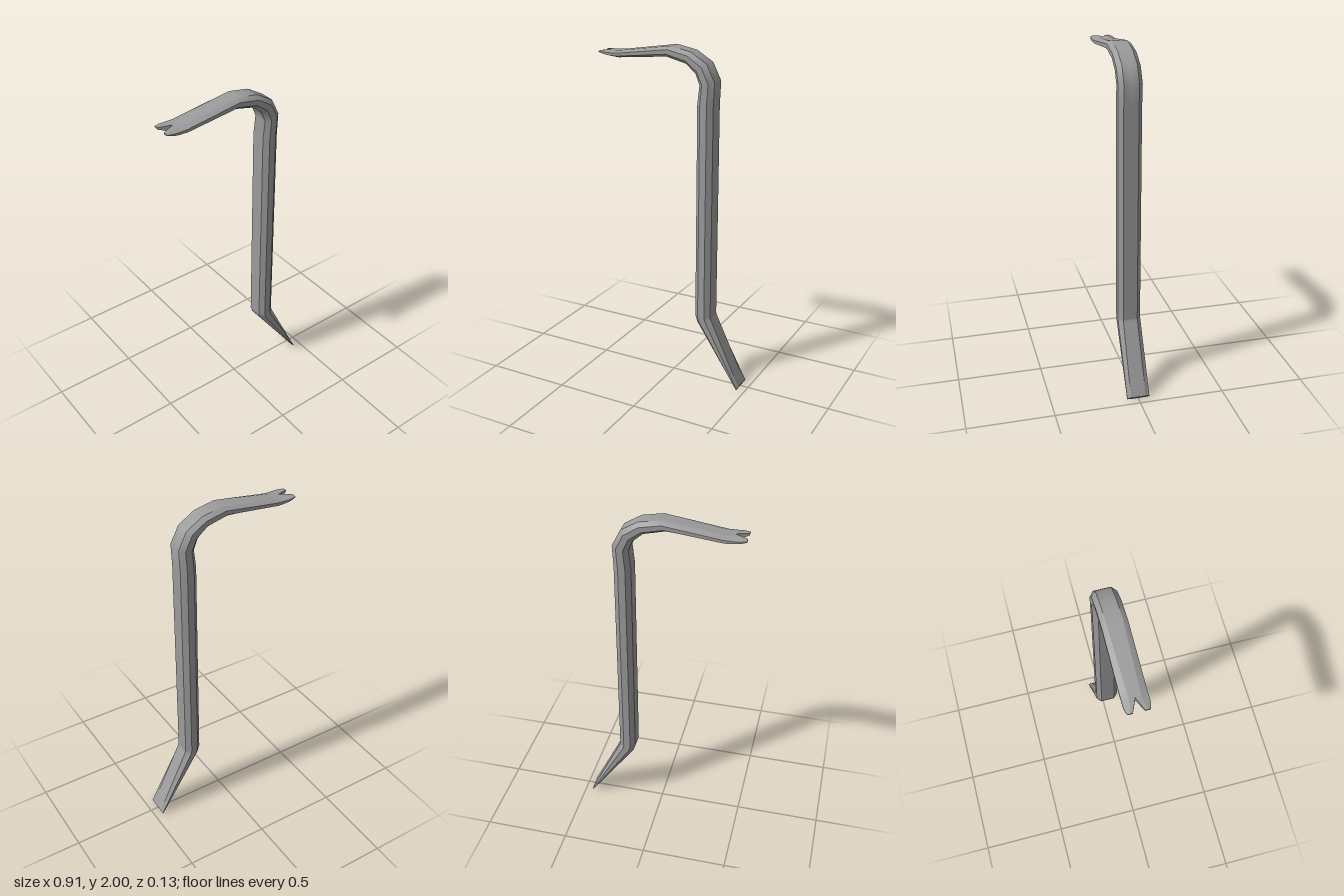
import * as THREE from 'three';
import { mergeGeometries } from 'three/addons/utils/BufferGeometryUtils.js';

// Stations from chisel tip to claw tips:
// outer x, y, inner x, y, half width, half width of the flat, half gap of the notch
const STATIONS = [
  [0.455, 0.012, 0.45, 0, 0.067, 0.045, 0],
  [0.267, 0.41, 0.177, 0.385, 0.067, 0.042, 0],
  [0.262, 0.425, 0.165, 0.425, 0.067, 0.042, 0],
  [0.262, 1.69, 0.165, 1.69, 0.067, 0.042, 0],
  [0.268, 1.82, 0.177, 1.80, 0.067, 0.042, 0],
  [0.219, 1.917, 0.153, 1.86, 0.067, 0.042, 0],
  [0.122, 1.976, 0.095, 1.91, 0.067, 0.042, 0],
  [0, 2, -0.026, 1.94, 0.067, 0.042, 0],
  [-0.335, 1.951, -0.34, 1.911, 0.067, 0.032, 0],
  [-0.385, 1.949, -0.385, 1.915, 0.067, 0.03, 0],
  [-0.42, 1.948, -0.42, 1.922, 0.067, 0.037, 0.015],
  [-0.455, 1.944, -0.455, 1.934, 0.058, 0.045, 0.03],
];
const NOTCH_START = 9;

// Half of a chamfered section, on the side given by the sign s
function halfRing([ox, oy, ix, iy, w, flat, gap], s) {
  const at = (t, z) => [ox + (ix - ox) * t, oy + (iy - oy) * t, s * z];
  return [at(0, gap), at(0, flat), at(0.3, w), at(0.72, w), at(1, flat), at(1, gap)];
}

// Smooth strip through rows of two points; s = -1 turns the faces for the mirrored half
function strip(rows, s) {
  const index = [];
  for (let k = 0; k < rows.length - 1; k++) {
    const a = 2 * k, b = a + 1, c = a + 2, d = a + 3;
    index.push(...(s > 0 ? [a, c, d, a, d, b] : [a, d, c, a, b, d]));
  }
  const geometry = new THREE.BufferGeometry();
  geometry.setAttribute('position', new THREE.Float32BufferAttribute(rows.flat(2), 3));
  geometry.setIndex(index);
  geometry.computeVertexNormals();
  return geometry;
}

// Each face of the bar is its own strip: smooth along the bends, sharp at the chamfers
function barGeometry() {
  const parts = [];
  for (const s of [1, -1]) {
    const rings = STATIONS.map((station) => halfRing(station, s));
    for (let i = 0; i < 5; i++) {
      parts.push(strip(rings.map((r) => [r[i], r[i + 1]]), s));
    }
    // wall of the notch
    parts.push(strip(rings.slice(NOTCH_START).map((r) => [r[5], r[0]]), s));
    // end caps
    const first = rings[0], last = rings[rings.length - 1];
    parts.push(strip([0, 1, 2].map((i) => [first[i], first[5 - i]]), s));
    parts.push(strip([0, 1, 2].map((i) => [last[5 - i], last[i]]), s));
  }
  return mergeGeometries(parts);
}

export function createModel() {
  const group = new THREE.Group();
  group.name = 'crowbar';
  // one forged bar: chisel end, shaft, bend and split claw
  const bar = new THREE.Mesh(barGeometry(), new THREE.MeshStandardMaterial({ color: 0x9b9b9b }));
  bar.name = 'bar';
  group.add(bar);
  return group;
}
